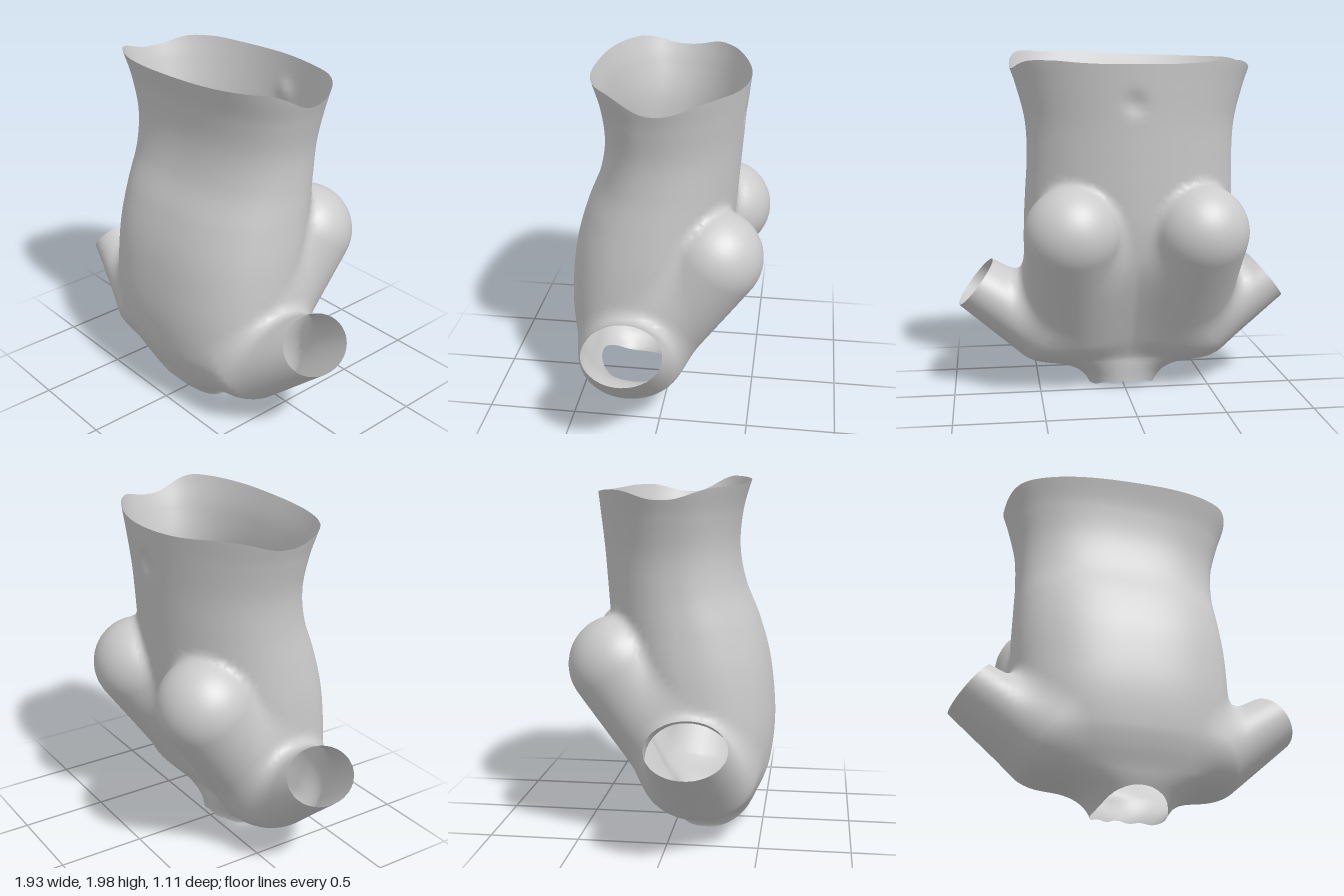
import * as THREE from 'three';
import { mergeVertices } from 'three/addons/utils/BufferGeometryUtils.js';

const { smoothstep, clamp } = THREE.MathUtils;

// Torso cross-sections: y, half width, front z, back z, z of the widest point
const SECTIONS = [
  [-0.15, 0.18, 0.33, 0.0, 0.19], [0.0, 0.2, 0.36, -0.005, 0.19], [0.05, 0.23, 0.39, -0.005, 0.19],
  [0.1, 0.28, 0.42, -0.01, 0.18], [0.15, 0.37, 0.445, -0.015, 0.18], [0.2, 0.47, 0.465, -0.02, 0.18],
  [0.3, 0.55, 0.51, -0.07, 0.17], [0.4, 0.585, 0.54, -0.12, 0.16], [0.6, 0.605, 0.56, -0.22, 0.14],
  [0.8, 0.61, 0.55, -0.31, 0.12], [1.0, 0.61, 0.52, -0.355, 0.09], [1.2, 0.6, 0.46, -0.375, 0.06],
  [1.4, 0.59, 0.38, -0.39, 0.03], [1.6, 0.6, 0.345, -0.405, 0.02], [1.8, 0.65, 0.36, -0.425, 0.02],
  [1.95, 0.7, 0.4, -0.44, 0.02], [2.15, 0.74, 0.47, -0.46, 0.02],
];
const CENTRE_X = -0.03;

// Smooth interpolation along the torso
function section(y) {
  let i = 1;
  while (i < SECTIONS.length - 2 && SECTIONS[i + 1][0] < y) i++;
  if (y < SECTIONS[1][0]) i = 0;
  const a = SECTIONS[i], b = SECTIONS[i + 1];
  const p = SECTIONS[Math.max(i - 1, 0)], q = SECTIONS[Math.min(i + 2, SECTIONS.length - 1)];
  const h = b[0] - a[0], t = clamp((y - a[0]) / h, 0, 1);
  return [1, 2, 3, 4].map((k) => {
    const ma = (b[k] - p[k]) / (b[0] - p[0]) * h, mb = (q[k] - a[k]) / (q[0] - a[0]) * h;
    const t2 = t * t, t3 = t2 * t;
    return (2 * t3 - 3 * t2 + 1) * a[k] + (t3 - 2 * t2 + t) * ma + (3 * t2 - 2 * t3) * b[k] + (t3 - t2) * mb;
  });
}

function torso(x, y, z, s) {
  const [w, front, back, mid] = s;
  const dx = Math.abs(x - CENTRE_X * smoothstep(y, 0.1, 0.6)), dz = z - mid;
  const n = dz > 0 ? 2.5 : 1.95;
  const depth = dz > 0 ? front - mid : mid - back;
  const norm = Math.max(((dx / w) ** n + (Math.abs(dz) / depth) ** n) ** (1 / n), 0.05);
  const dimple = 0.02 * Math.exp(-(x * x + (y - 1.7) ** 2 + (z + 0.42) ** 2) / 0.003);
  return Math.hypot(dx, dz) * (1 - 1 / norm) + dimple;
}

// Tapered capsule from a to b
function capsule(x, y, z, a, b, ra, rb) {
  const d = [b[0] - a[0], b[1] - a[1], b[2] - a[2]];
  const p = [x - a[0], y - a[1], z - a[2]];
  const t = clamp((p[0] * d[0] + p[1] * d[1] + p[2] * d[2]) / (d[0] ** 2 + d[1] ** 2 + d[2] ** 2), 0, 1);
  return Math.hypot(p[0] - t * d[0], p[1] - t * d[1], p[2] - t * d[2]) - (ra + (rb - ra) * t);
}
const sleeve = (x, y, z) =>
  capsule(Math.abs(x), y, z * 0.75, [0.47, 0.365, 0.13], [1.04, 0.765, 0.1], 0.215, 0.14);
const pad = (x, y, z) =>
  capsule(Math.abs(x - CENTRE_X), y, z, [0.36, 0.985, -0.285], [0.32, 0.45, 0.09], 0.268, 0.265);

const blend = (a, b, k) => {
  const h = Math.max(k - Math.abs(a - b), 0) / k;
  return Math.min(a, b) - h * h * k * 0.25;
};
// The bulges are creased at the top and melt into the torso lower down
const field = (x, y, z, s = section(y)) => blend(
  blend(torso(x, y, z, s), pad(x, y, z), 0.05 + 0.12 * smoothstep(-y, -1.1, -0.6)), sleeve(x, y, z), 0.1);

function gradient(x, y, z) {
  const e = 0.004;
  return new THREE.Vector3(field(x + e, y, z) - field(x - e, y, z), field(x, y + e, z) - field(x, y - e, z),
    field(x, y, z + e) - field(x, y, z - e)).divideScalar(2 * e);
}

// Positive in the cut-away ends: waist, neck and cuffs
function cut({ x, y, z }) {
  const front = smoothstep(z, 0.02, 0.28);
  const waist = y - (1.885 + (0.08 + 0.03 * x) * front
    + 0.045 * smoothstep(-z, 0.03, 0.25) - 0.02 * smoothstep(-z, 0.3, 0.44));
  const arch = Math.max(1 - (x / 0.23) ** 2, 0);
  const scallop = z < 0.1 ? 0.008 * Math.cos(x * 50) * arch : 0;
  const neck = 0.004 + scallop + 0.035 * smoothstep(-z, -0.15, 0) * arch
    + 0.11 * smoothstep(z, 0.2, 0.4) * arch - y;
  const ax = Math.abs(x);
  const cuff = Math.min(0.78 * ax + 0.62 * y - 1.074, ax - 0.68, 1.1 - y);
  return Math.max(waist, neck, cuff);
}

// Smooth skin of the field: one vertex per crossed grid cell, one quad per crossed grid edge
function buildSkin() {
  const h = 0.034, lo = [-1.19, -0.13, -0.7], n = [71, 67, 42];
  const at = (i, j, k) => (i * n[1] + j) * n[2] + k;
  const value = new Float32Array(n[0] * n[1] * n[2]);
  for (let j = 0; j < n[1]; j++) {
    const y = lo[1] + j * h, s = section(y);
    for (let i = 0; i < n[0]; i++) for (let k = 0; k < n[2]; k++)
      value[at(i, j, k)] = field(lo[0] + i * h, y, lo[2] + k * h, s);
  }
  const step = [at(1, 0, 0), at(0, 1, 0), 1];
  const corners = [0, 1, 2, 3, 4, 5, 6, 7].map((c) => [c & 1, (c >> 1) & 1, c >> 2]);
  const verts = new Map(), quads = [];
  for (let i = 0; i < n[0] - 1; i++) for (let j = 0; j < n[1] - 1; j++) for (let k = 0; k < n[2] - 1; k++) {
    const o = at(i, j, k), sum = new THREE.Vector3();
    let count = 0;
    for (const c of corners) for (let a = 0; a < 3; a++) {
      if (c[a]) continue;
      const from = o + at(c[0], c[1], c[2]), f0 = value[from], f1 = value[from + step[a]];
      if (f0 < 0 === f1 < 0) continue;
      const q = [...c];
      q[a] = f0 / (f0 - f1);
      sum.add(new THREE.Vector3(...q));
      count++;
    }
    if (!count) continue;
    const p = sum.divideScalar(count).add(new THREE.Vector3(i, j, k)).multiplyScalar(h)
      .add(new THREE.Vector3(...lo));
    // Settle the vertex on the exact surface
    for (let r = 0; r < 2; r++) {
      const g = gradient(p.x, p.y, p.z);
      const d = -field(p.x, p.y, p.z) / Math.max(g.lengthSq(), 0.2);
      p.add(g.multiplyScalar(d).clampLength(0, h * 0.5));
    }
    verts.set(o, p);
    for (let a = 0; a < 3; a++) {
      const u = step[(a + 1) % 3], v = step[(a + 2) % 3];
      if (value[o] < 0 !== value[o + step[a]] < 0) quads.push([o, o - u, o - u - v, o - v]);
    }
  }
  return quads.map((q) => q.map((id) => verts.get(id))).filter((q) => q.every(Boolean));
}

// Trim a triangle to the side where cut() is negative
function trim(tri) {
  const out = [];
  tri.forEach((a, i) => {
    const b = tri[(i + 1) % 3], ca = cut(a), cb = cut(b);
    if (ca <= 0) out.push(a);
    if (ca <= 0 !== cb <= 0) out.push(a.clone().lerp(b, ca / (ca - cb)));
  });
  return out;
}

function partName(p) {
  const side = p.x > CENTRE_X ? 'left' : 'right';
  if (p.y < 0.13 && Math.abs(p.x) < 0.28) return 'neckOpening';
  const t = torso(p.x, p.y, p.z, section(p.y)), s = sleeve(p.x, p.y, p.z), b = pad(p.x, p.y, p.z);
  if (s < t && s < b) return side + 'Sleeve';
  return b < t ? side + 'BackBulge' : 'torso';
}

export function createModel() {
  const group = new THREE.Group();
  group.name = 'garment';
  const material = new THREE.MeshStandardMaterial({ color: 0xcccccc, side: THREE.DoubleSide });
  const parts = {};
  const ab = new THREE.Vector3(), ac = new THREE.Vector3();
  for (const q of buildSkin()) for (const tri of [[q[0], q[1], q[2]], [q[0], q[2], q[3]]]) {
    const poly = trim(tri);
    if (poly.length < 3) continue;
    const mid = tri[0].clone().add(tri[1]).add(tri[2]).divideScalar(3);
    ab.subVectors(tri[1], tri[0]);
    ac.subVectors(tri[2], tri[0]);
    if (ab.cross(ac).dot(gradient(mid.x, mid.y, mid.z)) < 0) poly.reverse();
    const part = (parts[partName(mid)] ??= { position: [], normal: [] });
    for (let i = 1; i < poly.length - 1; i++) for (const p of [poly[0], poly[i], poly[i + 1]]) {
      part.position.push(p.x, p.y, p.z);
      part.normal.push(...gradient(p.x, p.y, p.z).normalize().toArray());
    }
  }
  for (const [name, data] of Object.entries(parts)) {
    const geometry = new THREE.BufferGeometry();
    for (const key of ['position', 'normal'])
      geometry.setAttribute(key, new THREE.Float32BufferAttribute(data[key], 3));
    const mesh = new THREE.Mesh(mergeVertices(geometry), material);
    mesh.name = name;
    group.add(mesh);
  }
  return group;
}
